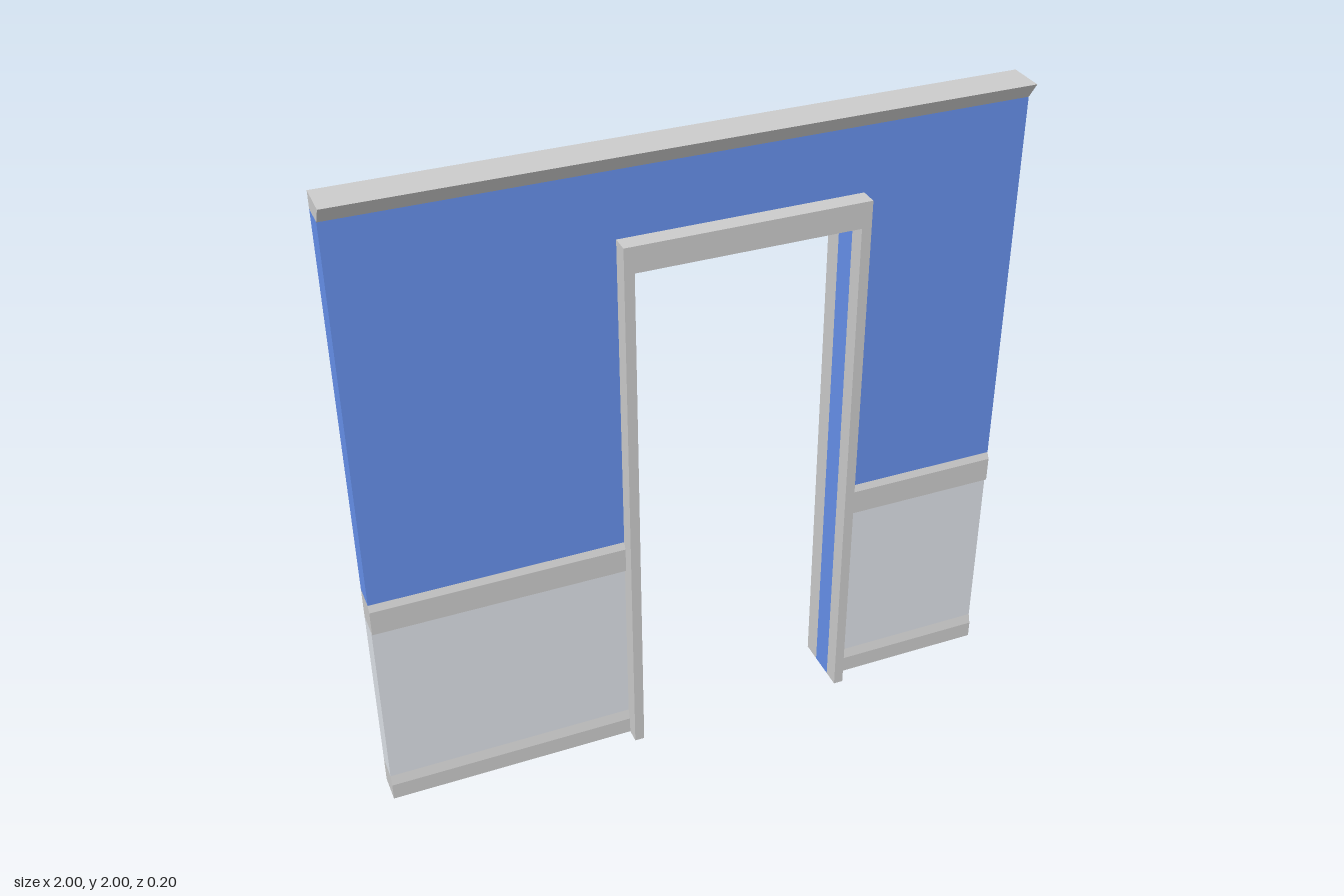
import * as THREE from 'three';

const grey = new THREE.MeshStandardMaterial({ color: 0xcccccc });
const blue = new THREE.MeshStandardMaterial({ color: 0x6690eb });
const pale = new THREE.MeshStandardMaterial({ color: 0xdee2e8 });

const BACK = -0.035, FRONT = 0.045;      // wall faces in z
const OPEN_L = -0.2, OPEN_R = 0.47, OPEN_TOP = 1.67;
const LINER = 0.01;

// Extrude a [z, y] profile along x from x0 to x1
function run(name, profile, x0, x1, material) {
  const shape = new THREE.Shape(profile.map(([z, y]) => new THREE.Vector2(-z, y)));
  const geometry = new THREE.ExtrudeGeometry(shape, { depth: x1 - x0, bevelEnabled: false });
  geometry.rotateY(Math.PI / 2).translate(x0, 0, 0);
  const mesh = new THREE.Mesh(geometry, material);
  mesh.name = name;
  return mesh;
}

const band = (y0, y1) => [[BACK, y0], [FRONT, y0], [FRONT, y1], [BACK, y1]];

// Inverted U of the doorway: outer edges, inner edges, outer top, inner top
function archway(name, xo0, xo1, xi0, xi1, top, innerTop, z0, z1, material) {
  const points = [[xo0, 0], [xi0, 0], [xi0, innerTop], [xi1, innerTop],
    [xi1, 0], [xo1, 0], [xo1, top], [xo0, top]];
  const shape = new THREE.Shape(points.map(([x, y]) => new THREE.Vector2(x, y)));
  const geometry = new THREE.ExtrudeGeometry(shape, { depth: z1 - z0, bevelEnabled: false });
  geometry.translate(0, 0, z0);
  const mesh = new THREE.Mesh(geometry, material);
  mesh.name = name;
  return mesh;
}

export function createModel() {
  const model = new THREE.Group();
  model.name = 'doorwayWall';

  // Stacked bands of wall on either side of the opening
  const baseboard = [[BACK, 0], [0.055, 0], [0.055, 0.055], [FRONT, 0.085], [BACK, 0.085]];
  const chairRail = [[BACK, 0.65], [0.055, 0.65], [0.055, 0.73], [FRONT, 0.75], [BACK, 0.75]];
  const sides = [['right', -1, OPEN_L - LINER], ['left', OPEN_R + LINER, 1]];
  for (const [side, x0, x1] of sides) {
    const group = new THREE.Group();
    group.name = side + 'WallSide';
    group.add(
      run('baseboard', baseboard, x0, x1, grey),
      run('wainscot', band(0.085, 0.65), x0, x1, pale),
      run('chairRail', chairRail, x0, x1, grey),
      run('upperWall', band(0.75, 1.95), x0, x1, blue));
    model.add(group);
  }

  // Wall above the door and the sloped crown moulding
  model.add(run('lintelWall', band(OPEN_TOP + LINER, 1.95), OPEN_L - LINER, OPEN_R + LINER, blue));
  const crown = [[BACK, 1.95], [FRONT, 1.95], [0.08, 2], [BACK, 2]];
  model.add(run('crownMoulding', crown, -1, 1, grey));

  // Blue reveal lining the opening, between the two door casings
  model.add(archway('doorReveal', OPEN_L - LINER, OPEN_R + LINER, OPEN_L, OPEN_R,
    OPEN_TOP + LINER, OPEN_TOP, BACK, FRONT, blue));
  for (const [name, z0, z1] of [['frontCasing', FRONT, 0.1], ['backCasing', -0.1, BACK]]) {
    model.add(archway(name, -0.23, 0.5, OPEN_L, OPEN_R, 1.75, OPEN_TOP, z0, z1, grey));
  }
  return model;
}
